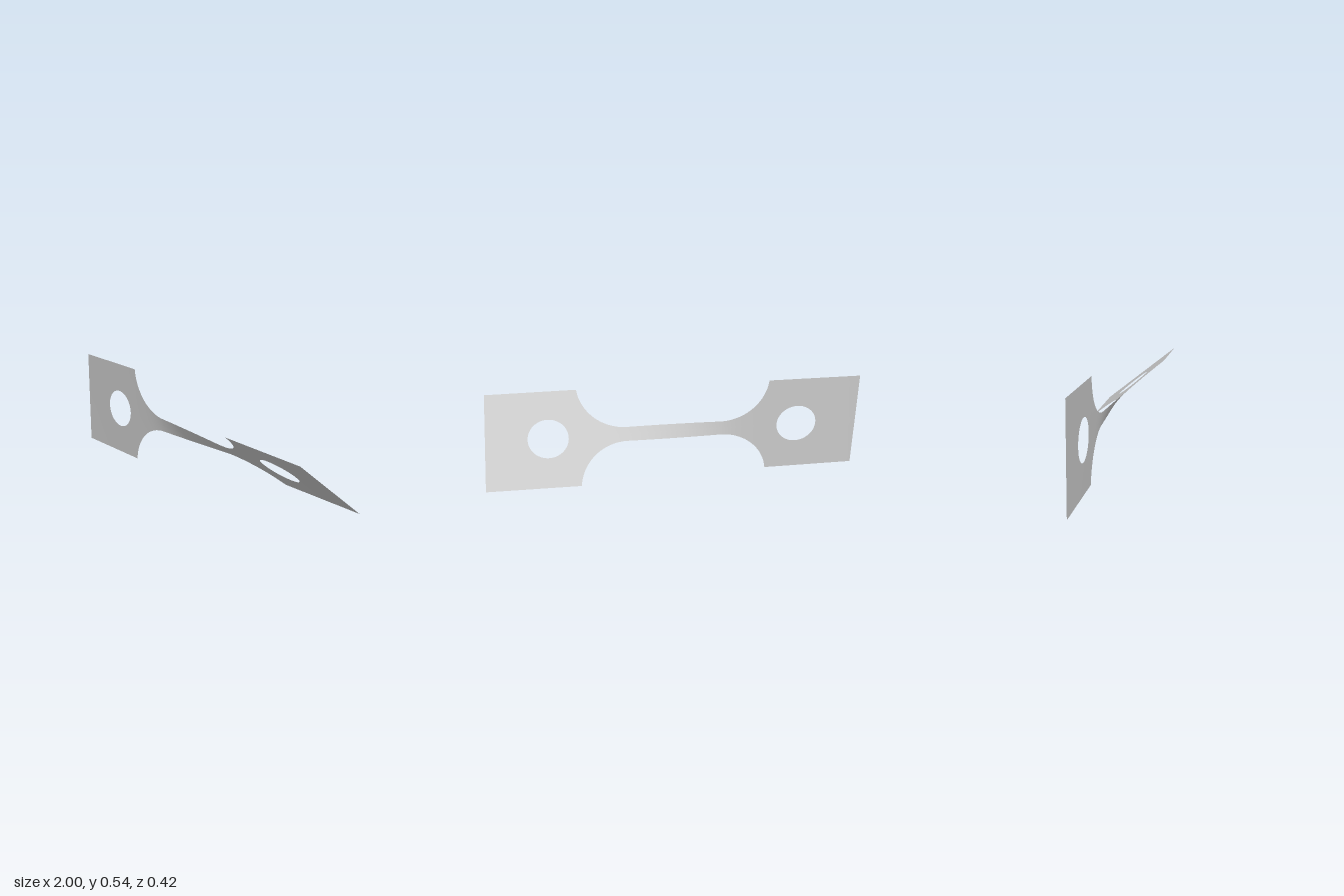
import * as THREE from 'three';
import { mergeVertices } from 'three/addons/utils/BufferGeometryUtils.js';

const HALF = 0.271;                      // half width of the end plates
const NECK = 0.038;                      // half width of the neck
const FILLET = 0.26, FILLET_X = 0.25;    // shoulder radius and where it meets the neck
const HOLE = 0.108, HOLE_X = 0.67;       // pin hole
const TWIST = THREE.MathUtils.degToRad(51.1);

// Outline of the flat strip: outer half width and half height of the hole at x
function outer(x) {
  const d = Math.abs(x) - FILLET_X;
  if (d <= 0) return NECK;
  if (d >= FILLET) return HALF;
  return Math.min(HALF, NECK + FILLET - Math.sqrt(FILLET * FILLET - d * d));
}
function inner(x) {
  const d = Math.abs(x) - HOLE_X;
  return Math.sqrt(Math.max(0, HOLE * HOLE - d * d));
}

// Stations along the length, closer together around the hole and shoulder
function stations() {
  const half = [];
  for (let i = 0; i < 8; i++) half.push((FILLET_X * i) / 8);
  const end = Math.acos((NECK + FILLET - HALF) / FILLET);
  for (let i = 0; i <= 24; i++) half.push(FILLET_X + FILLET * Math.sin((end * i) / 24));
  half.push(0.535);
  for (let i = 0; i <= 32; i++) half.push(HOLE_X - HOLE * Math.cos((Math.PI * i) / 32));
  for (let i = 1; i <= 6; i++) half.push(HOLE_X + HOLE + ((1 - HOLE_X - HOLE) * i) / 6);
  return [...half.slice(1).reverse().map((x) => -x), ...half];
}

// Twist builds up fastest where the strip is narrow
function twistAngles(xs) {
  const angles = [0];
  for (let i = 1; i < xs.length; i++) {
    const w = outer((xs[i] + xs[i - 1]) / 2);
    angles.push(angles[i - 1] + (xs[i] - xs[i - 1]) / (w * w));
  }
  const total = angles[angles.length - 1];
  return angles.map((a) => (a / total) * TWIST);
}

function twistedStrip() {
  const xs = stations(), angles = twistAngles(xs), rows = 8;
  const positions = [], index = [];
  for (const side of [-1, 1]) {
    const base = positions.length / 3;
    xs.forEach((x, i) => {
      const a = inner(x), b = outer(x);
      for (let j = 0; j <= rows; j++) {
        const s = side * (a + ((b - a) * j) / rows);
        positions.push(x, HALF + s * Math.cos(angles[i]), s * Math.sin(angles[i]));
      }
    });
    for (let i = 0; i < xs.length - 1; i++) {
      for (let j = 0; j < rows; j++) {
        const p = base + i * (rows + 1) + j, q = p + rows + 1;
        if (side > 0) index.push(p, q, q + 1, p, q + 1, p + 1);
        else index.push(p, q + 1, q, p, p + 1, q + 1);
      }
    }
  }
  let geometry = new THREE.BufferGeometry();
  geometry.setAttribute('position', new THREE.Float32BufferAttribute(positions, 3));
  geometry.setIndex(index);
  geometry = mergeVertices(geometry, 1e-5);   // join both halves along the centre line
  geometry.computeVertexNormals();
  return geometry;
}

export function createModel() {
  const group = new THREE.Group();
  group.name = 'twistedTestStrip';
  const metal = new THREE.MeshStandardMaterial({ color: 0xc8c8c8, side: THREE.DoubleSide });
  metal.name = 'light grey metal';
  const strip = new THREE.Mesh(twistedStrip(), metal);
  strip.name = 'strip';
  group.add(strip);
  return group;
}
